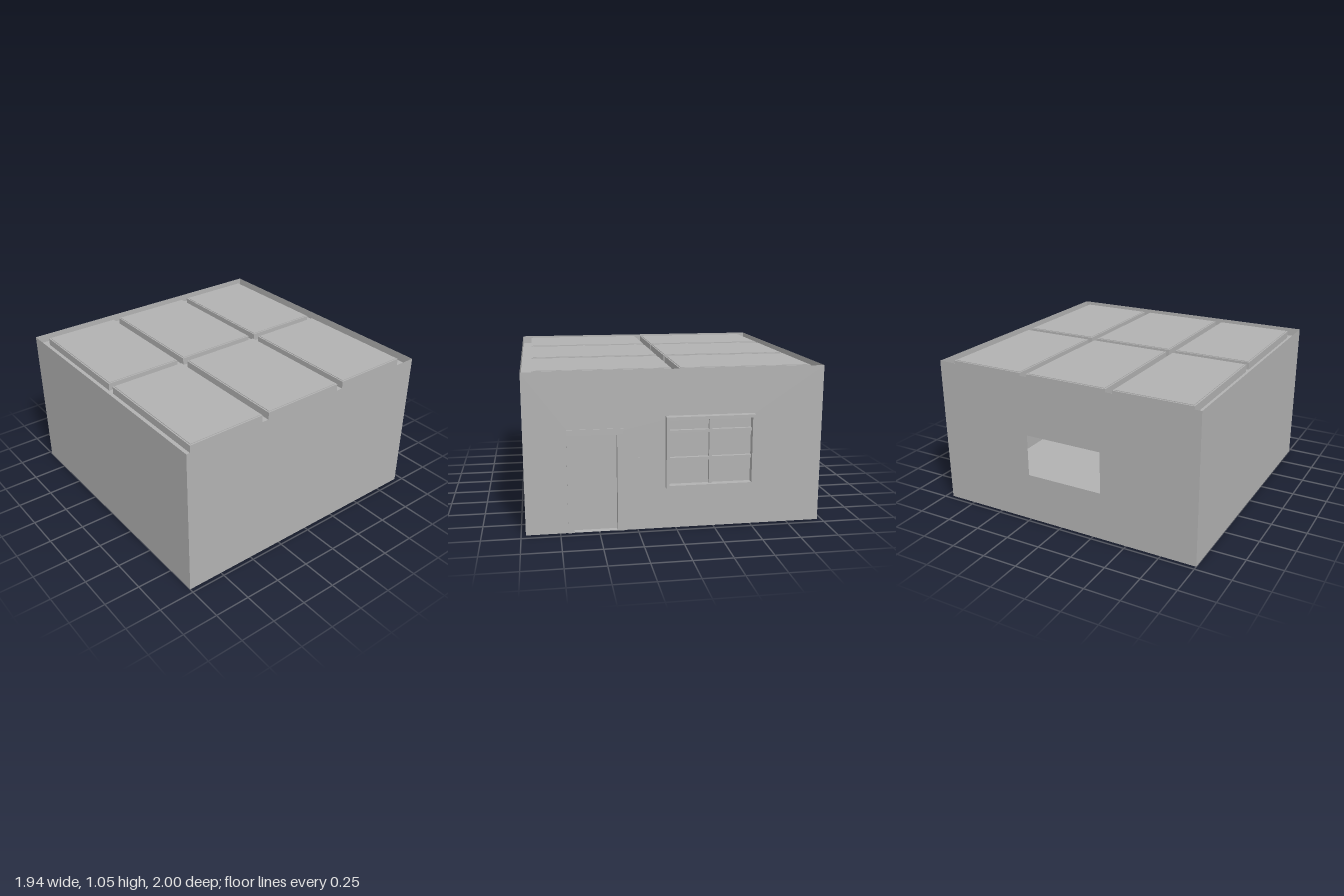
import * as THREE from 'three';

export function createModel() {
  const room = new THREE.Group();
  room.name = 'room';
  const grey = new THREE.MeshStandardMaterial({ color: 0xb2b2b2, side: THREE.DoubleSide });
  grey.name = 'plainGrey';

  const X = 0.97, BACK = -0.95, FRONT = 1, H = 1.05, SLAB = 0.99;

  function add(geometry, name, x = 0, y = 0, z = 0, parent = room) {
    const mesh = new THREE.Mesh(geometry, grey);
    mesh.name = name;
    mesh.position.set(x, y, z);
    parent.add(mesh);
    return mesh;
  }
  // Box given by its extents
  function block(name, x0, x1, y0, y1, z0, z1, parent = room) {
    return add(new THREE.BoxGeometry(x1 - x0, y1 - y0, z1 - z0), name,
      (x0 + x1) / 2, (y0 + y1) / 2, (z0 + z1) / 2, parent);
  }
  const corners = (a0, a1, b0, b1) => [[a0, b0], [a1, b0], [a1, b1], [a0, b1]]
    .map(([a, b]) => new THREE.Vector2(a, b));
  // Rectangle with rectangular holes
  function panel(rect, holes = []) {
    const shape = new THREE.Shape(corners(...rect));
    holes.forEach(h => shape.holes.push(new THREE.Path(corners(...h).reverse())));
    return shape;
  }
  const flat = (rect, holes) => new THREE.ShapeGeometry(panel(rect, holes));

  // Thin outer walls and floor
  add(flat([-X, X, 0, H]), 'frontWall', 0, 0, FRONT);
  const door = [0.36, 0.68, 0, 0.66], win = [-0.49, 0.05, 0.30, 0.73];
  // the back wall shape is mirrored in x because it is turned to face -z
  add(flat([-X, X, 0, H], [
    [-door[1], -door[0], 0.0005, door[3]],
    [-win[1], -win[0], win[2], win[3]],
  ]), 'backWall', 0, 0, BACK).rotation.y = Math.PI;
  add(flat([-FRONT, -BACK, 0, H]), 'leftWall', X).rotation.y = Math.PI / 2;
  add(flat([BACK, FRONT, 0, H], [[-0.25, 0.31, 0.34, 0.635]]), 'rightWallWithOpening', -X)
    .rotation.y = -Math.PI / 2;
  add(flat([-X, X, -FRONT, -BACK]).rotateX(Math.PI / 2).scale(1, 1, -1), 'floor');

  // Skirting inside the room
  block('frontSkirting', -X + 0.002, X - 0.002, 0.002, 0.06, FRONT - 0.012, FRONT - 0.002);
  block('leftSkirting', X - 0.012, X - 0.002, 0.002, 0.06, BACK + 0.002, FRONT - 0.012);
  block('rightSkirting', -X + 0.002, -X + 0.012, 0.002, 0.06, BACK + 0.002, FRONT - 0.012);

  // Ceiling slab with six raised coffers
  const columns = [[-0.905, -0.03], [0.02, 0.90]];
  const rows = [[-0.88, -0.33], [-0.28, 0.32], [0.37, 0.925]];
  const holes = [];
  for (const [x0, x1] of columns) {
    for (const [z0, z1] of rows) {
      holes.push([x0 + 0.012, x1 - 0.012, -z1 + 0.012, -z0 - 0.012]);
      const coffer = new THREE.Group();
      coffer.name = 'ceilingCoffer';
      room.add(coffer);
      const ring = panel([x0, x1, -z1, -z0], [holes[holes.length - 1]]);
      add(new THREE.ExtrudeGeometry(ring, { depth: 0.052, bevelEnabled: false }).rotateX(-Math.PI / 2),
        'cofferSides', 0, SLAB, 0, coffer);
      block('cofferTop', x0 + 0.01, x1 - 0.01, SLAB + 0.045, SLAB + 0.056, z0 + 0.01, z1 - 0.01, coffer);
    }
  }
  add(flat([-X, X, -FRONT, -BACK], holes).rotateX(-Math.PI / 2), 'ceilingSlab', 0, SLAB, 0);

  // Door: frame and recessed leaf
  const doorway = new THREE.Group();
  doorway.name = 'door';
  room.add(doorway);
  for (const [x0, x1] of [[0.34, 0.38], [0.66, 0.70]]) {
    block('doorJamb', x0, x1, 0, 0.64, BACK - 0.006, BACK + 0.06, doorway);
  }
  block('doorLintel', 0.34, 0.70, 0.64, 0.68, BACK - 0.006, BACK + 0.06, doorway);
  block('doorLeaf', 0.375, 0.665, 0, 0.645, BACK + 0.045, BACK + 0.06, doorway);

  // Window: projecting frame, glazing bars and pane
  const bay = new THREE.Group();
  bay.name = 'window';
  room.add(bay);
  const frame = panel([-0.51, 0.07, 0.28, 0.75], [[-0.49, 0.05, 0.30, 0.73]]);
  add(new THREE.ExtrudeGeometry(frame, { depth: 0.05, bevelEnabled: false }), 'windowFrame', 0, 0, -1, bay);
  block('windowPane', -0.495, 0.055, 0.295, 0.735, BACK - 0.004, BACK + 0.004, bay);
  block('verticalBar', -0.23, -0.21, 0.30, 0.73, BACK - 0.03, BACK, bay);
  for (const y of [0.47, 0.65]) {
    block('horizontalBar', -0.49, 0.05, y - 0.01, y + 0.01, BACK - 0.028, BACK, bay);
  }

  // Tiny fixings beside the door
  for (const [x, y] of [[0.24, 0.48], [0.215, 0.48], [0.228, 0.42]]) {
    block('wallFixing', x - 0.003, x + 0.003, y - 0.003, y + 0.003, BACK - 0.003, BACK);
  }
  return room;
}
